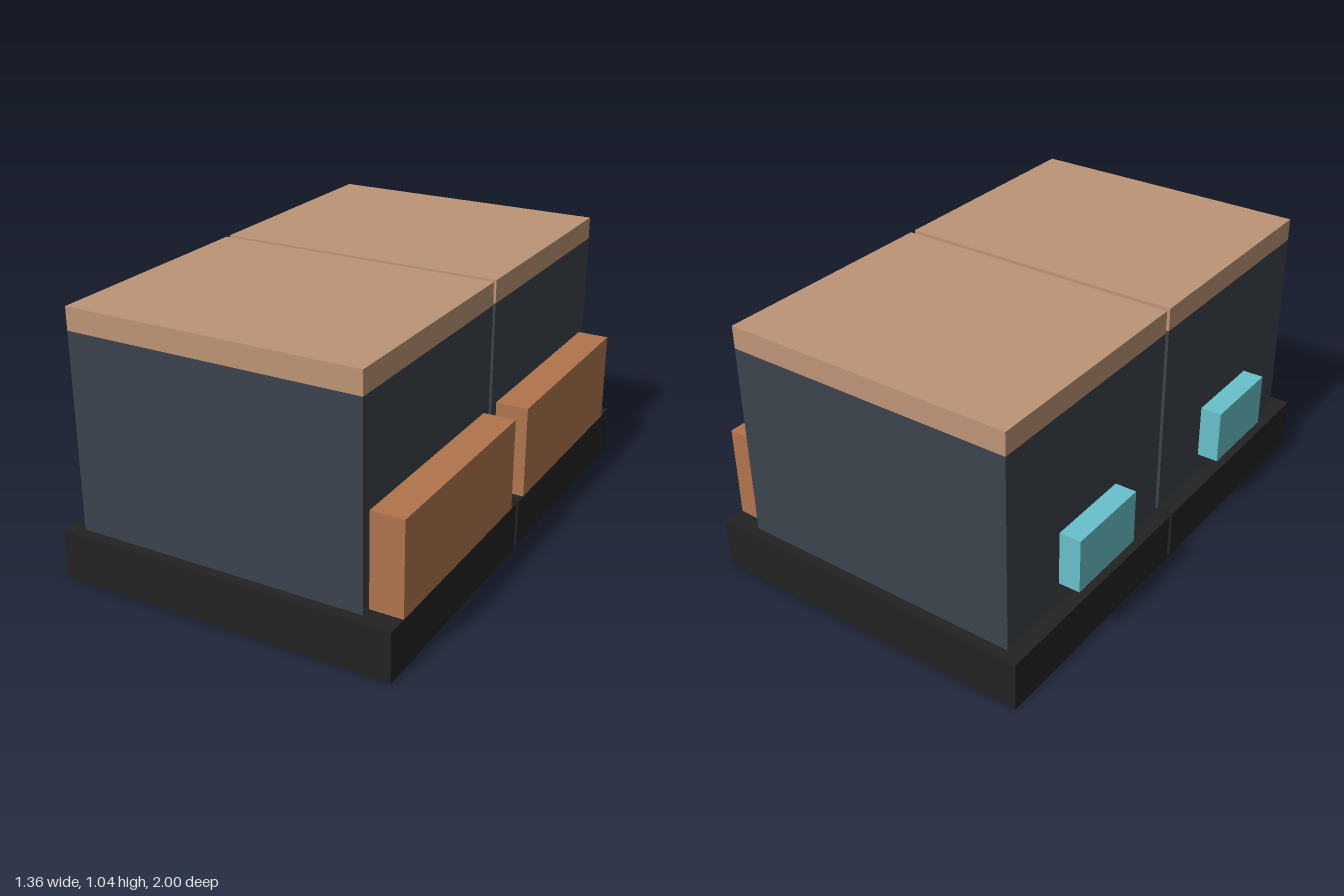
import * as THREE from 'three';

const mat = (name, color) => {
  const m = new THREE.MeshStandardMaterial({ color });
  m.name = name;
  return m;
};

export function createModel() {
  const black = mat('black', 0x222222);
  const slate = mat('slate', 0x3c434d);
  const tan = mat('tan', 0xbd9476);
  const rust = mat('rust', 0xb0754d);
  const teal = mat('teal', 0x68c0cb);

  // name, material, [x min, x max], [y min, y max], [z min, z max] for the front half
  const parts = [
    ['base', black, [-0.66, 0.677], [0, 0.192], [0.011, 1]],
    ['body', slate, [-0.597, 0.55], [0.192, 0.956], [0.011, 0.956]],
    ['lid', tan, [-0.597, 0.55], [0.956, 1.044], [0.011, 0.956]],
    ['sideBox', rust, [0.55, 0.677], [0.192, 0.554], [0.056, 0.914]],
    ['sidePanel', teal, [-0.681, -0.597], [0.276, 0.49], [0.309, 0.659]],
  ];

  const model = new THREE.Group();
  model.name = 'twinUnits';

  // Two matching units, mirrored across the narrow gap at z = 0
  for (const [unitName, side] of [['frontUnit', 1], ['backUnit', -1]]) {
    const unit = new THREE.Group();
    unit.name = unitName;
    for (const [name, material, x, y, z] of parts) {
      const mesh = new THREE.Mesh(
        new THREE.BoxGeometry(x[1] - x[0], y[1] - y[0], z[1] - z[0]), material);
      mesh.position.set((x[0] + x[1]) / 2, (y[0] + y[1]) / 2, side * (z[0] + z[1]) / 2);
      mesh.name = name;
      unit.add(mesh);
    }
    model.add(unit);
  }
  return model;
}
